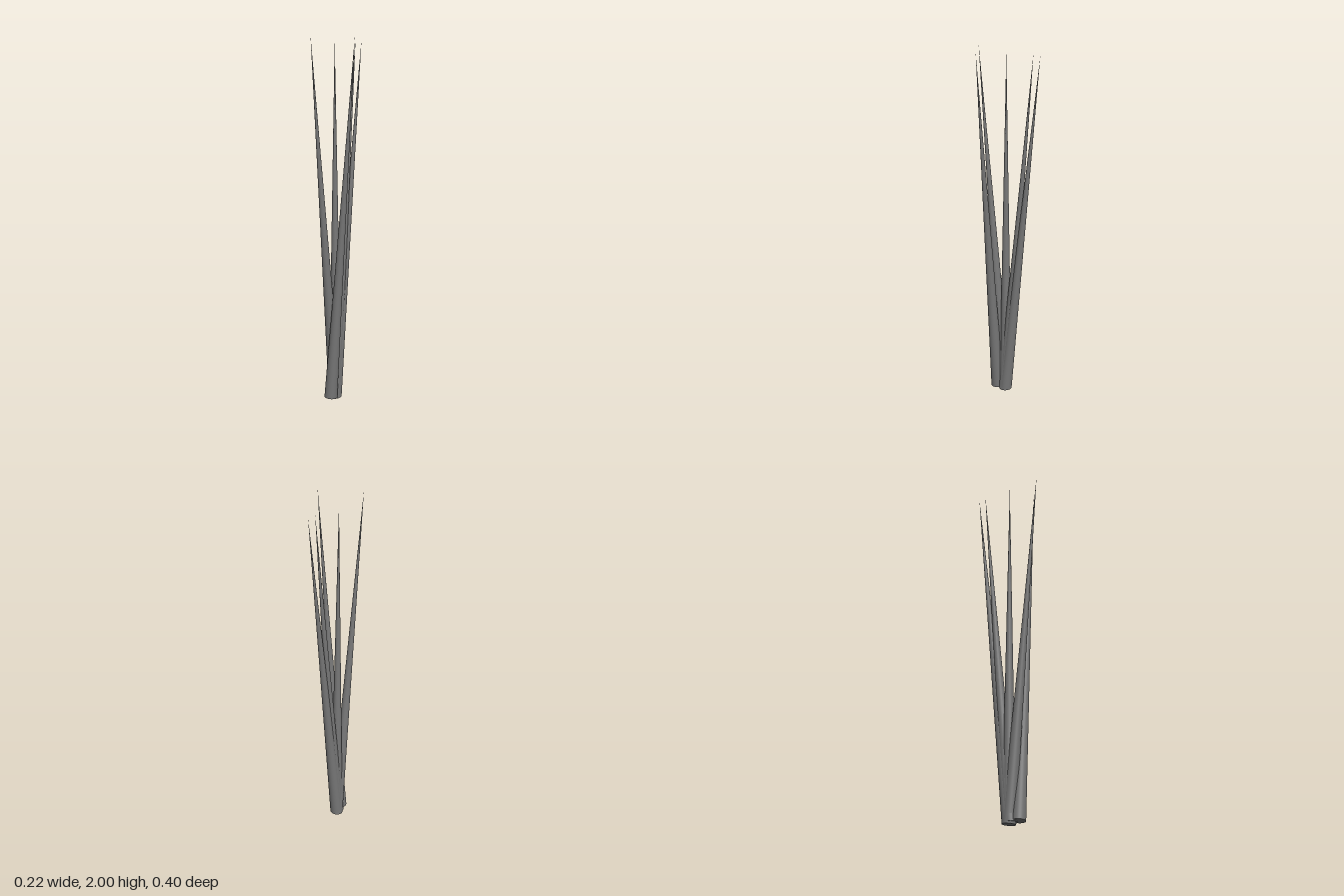
import * as THREE from 'three';

const RADIUS = 0.036;
const UP = new THREE.Vector3(0, 1, 0);

// A long closed spike running from the centre of its base to its tip
function makeSpike(name, base, tip, material) {
  const from = new THREE.Vector3(...base);
  const axis = new THREE.Vector3(...tip).sub(from);
  const length = axis.length();
  const geometry = new THREE.ConeGeometry(RADIUS, length, 48);
  geometry.translate(0, length / 2, 0);
  const spike = new THREE.Mesh(geometry, material);
  spike.name = name;
  spike.position.copy(from);
  spike.quaternion.setFromUnitVectors(UP, axis.normalize());
  return spike;
}

export function createModel() {
  const group = new THREE.Group();
  group.name = 'spikeCluster';
  const material = new THREE.MeshStandardMaterial({ color: 0x777777 });

  // Spikes fan out from a shared foot: name, base centre, tip
  const spikes = [
    ['uprightSpike', [-0.076, 0.01, 0.015], [-0.075, 1.98, 0.015]],
    ['frontSpike', [-0.077, 0.004, 0.015], [-0.078, 2.0, 0.198]],
    ['backSpike', [-0.076, 0.012, 0.015], [-0.071, 1.985, -0.2]],
    ['innerBackSpike', [-0.076, 0.012, 0.024], [-0.075, 1.99, -0.155]],
    ['sideSpike', [-0.064, 0.018, 0.065], [0.112, 2.0, 0.067]],
  ];
  for (const [name, base, tip] of spikes) group.add(makeSpike(name, base, tip, material));

  return group;
}
